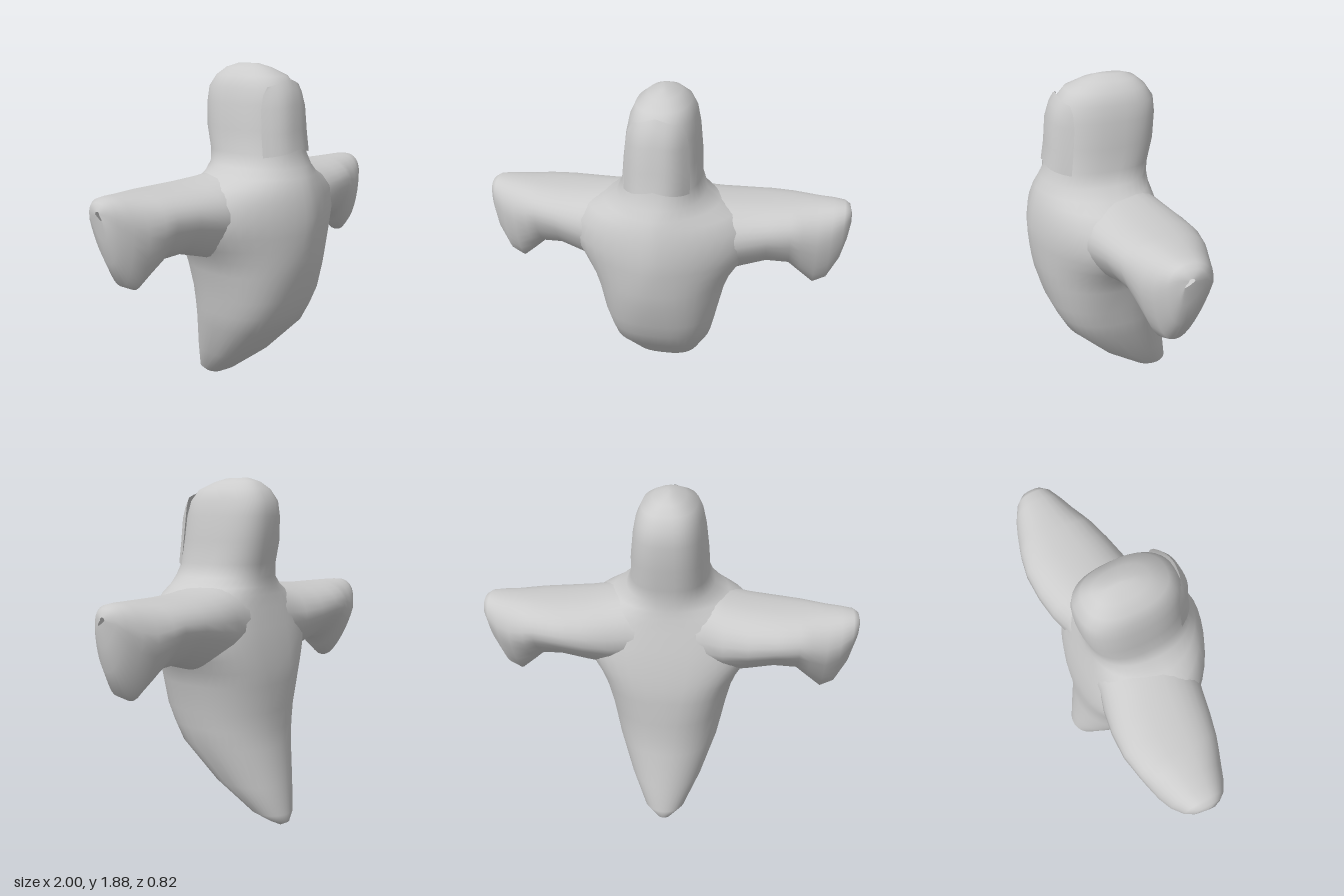
import * as THREE from 'three';

const cloth = new THREE.MeshStandardMaterial({ color: 0xcccccc, side: THREE.DoubleSide });
cloth.name = 'pale grey cloth';

const spow = (v, p) => Math.sign(v) * Math.abs(v) ** p;

// Skin rows of points into a smooth surface; closed rows wrap around.
function skin(rows, closed) {
  const n = rows[0].length, index = [];
  for (let i = 0; i < rows.length - 1; i++) {
    for (let j = 0; j < (closed ? n : n - 1); j++) {
      const k = (j + 1) % n;
      const a = i * n + j, b = i * n + k, c = a + n, d = b + n;
      index.push(a, c, b, b, c, d);
    }
  }
  const geo = new THREE.BufferGeometry();
  geo.setAttribute('position', new THREE.Float32BufferAttribute(rows.flat(2), 3));
  geo.setIndex(index);
  geo.computeVertexNormals();
  return geo;
}

const ring = (count, point) =>
  Array.from({ length: count }, (_, j) => point((j / count) * Math.PI * 2));

function part(name, geo) {
  const mesh = new THREE.Mesh(geo, cloth);
  mesh.name = name;
  return mesh;
}

// Hooded body, flaring into the sleeves at the shoulders:
// height, half width, front z, back z, front squareness, back squareness
function body() {
  const sections = [
    [0.005, 0.005, -0.35, -0.36, 2, 2], [0.03, 0.05, -0.28, -0.405, 2, 2],
    [0.08, 0.115, -0.19, -0.41, 2.3, 2], [0.24, 0.2, 0.02, -0.385, 2.8, 2],
    [0.45, 0.28, 0.23, -0.35, 2.8, 2.1], [0.55, 0.302, 0.285, -0.342, 2.7, 2.2],
    [0.65, 0.322, 0.33, -0.34, 2.6, 2.3], [0.8, 0.355, 0.375, -0.342, 2.2, 2.6],
    [0.88, 0.385, 0.39, -0.335, 2, 2.8], [0.95, 0.43, 0.4, -0.325, 1.8, 2.8],
    [1.02, 0.475, 0.407, -0.312, 1.65, 2.7], [1.1, 0.5, 0.41, -0.295, 1.6, 2.6],
    [1.2, 0.48, 0.397, -0.268, 1.6, 2.5], [1.27, 0.4, 0.376, -0.252, 1.65, 2.3],
    [1.31, 0.31, 0.358, -0.245, 1.8, 2.2], [1.36, 0.237, 0.33, -0.24, 2.1, 2.3],
    [1.43, 0.207, 0.295, -0.245, 2.3, 2.5], [1.55, 0.2, 0.275, -0.27, 2.3, 2.6],
    [1.68, 0.185, 0.262, -0.278, 2.3, 2.6], [1.76, 0.168, 0.24, -0.27, 2.3, 2.6],
    [1.82, 0.14, 0.19, -0.23, 2.3, 2.5], [1.86, 0.085, 0.1, -0.18, 2.2, 2.4],
    [1.88, 0.03, 0.03, -0.12, 2, 2], [1.882, 0.001, -0.03, -0.032, 2, 2],
  ];
  return skin(sections.map(([y, w, f, b, nf, nb]) => ring(40, (t) => {
    const s = Math.sin(t), n = s > 0 ? nf : nb;
    return [
      w * spow(Math.cos(t), 2 / n), y,
      (f + b) / 2 + ((f - b) / 2) * spow(s, 2 / n),
    ];
  })), true);
}

// Outstretched sleeves with hanging cuffs: x, front z, back z, top, bottom
function sleeves() {
  const half = [
    [0.2, 0.22, -0.275, 1.33, 0.85], [0.3, 0.235, -0.305, 1.312, 0.865],
    [0.43, 0.205, -0.326, 1.298, 0.905], [0.57, 0.172, -0.33, 1.291, 0.945],
    [0.69, 0.14, -0.308, 1.291, 0.935], [0.75, 0.12, -0.292, 1.291, 0.88],
    [0.83, 0.09, -0.268, 1.291, 0.81], [0.9, 0.06, -0.24, 1.291, 0.845],
    [0.96, 0.02, -0.2, 1.287, 0.97], [0.988, -0.02, -0.16, 1.27, 1.09],
    [1, -0.065, -0.095, 1.23, 1.19],
  ];
  const mirrored = half.map(([x, ...rest]) => [-x, ...rest]).reverse();
  return skin([...mirrored, ...half].map(([x, f, b, top, low]) => ring(32, (t) => {
    const s = Math.sin(t), c = Math.cos(t);
    const mid = top - (0.52 - 0.16 * Math.abs(x)) * (top - low);
    const narrow = s < 0 ? 1 + 0.3 * s : 1;
    return [
      x,
      s > 0 ? mid + (top - mid) * s ** 0.85 : mid + (mid - low) * s,
      (f + b) / 2 + 0.03 * Math.max(0, -s) + ((f - b) / 2) * spow(c, 0.85) * narrow,
    ];
  })), true);
}

// Curved face panel: height, half width, centre z, edge z, drop at the edges
function face() {
  const rows = [
    [1.455, 0.17, 0.315, 0.212, 0.04], [1.55, 0.168, 0.299, 0.2, 0.02],
    [1.68, 0.16, 0.289, 0.19, 0.02], [1.76, 0.147, 0.264, 0.192, 0.03],
    [1.81, 0.125, 0.238, 0.2, 0.04],
  ];
  return skin(rows.map(([y, w, c, e, drop]) => Array.from({ length: 13 }, (_, j) => {
    const u = 1 - j / 6, a = Math.abs(u);
    return [w * u, y - drop * a, c - (c - e) * a ** 3];
  })), false);
}

export function createModel() {
  const group = new THREE.Group();
  group.name = 'hooded ghost';
  group.add(part('body', body()), part('sleeves', sleeves()), part('facePanel', face()));
  return group;
}
